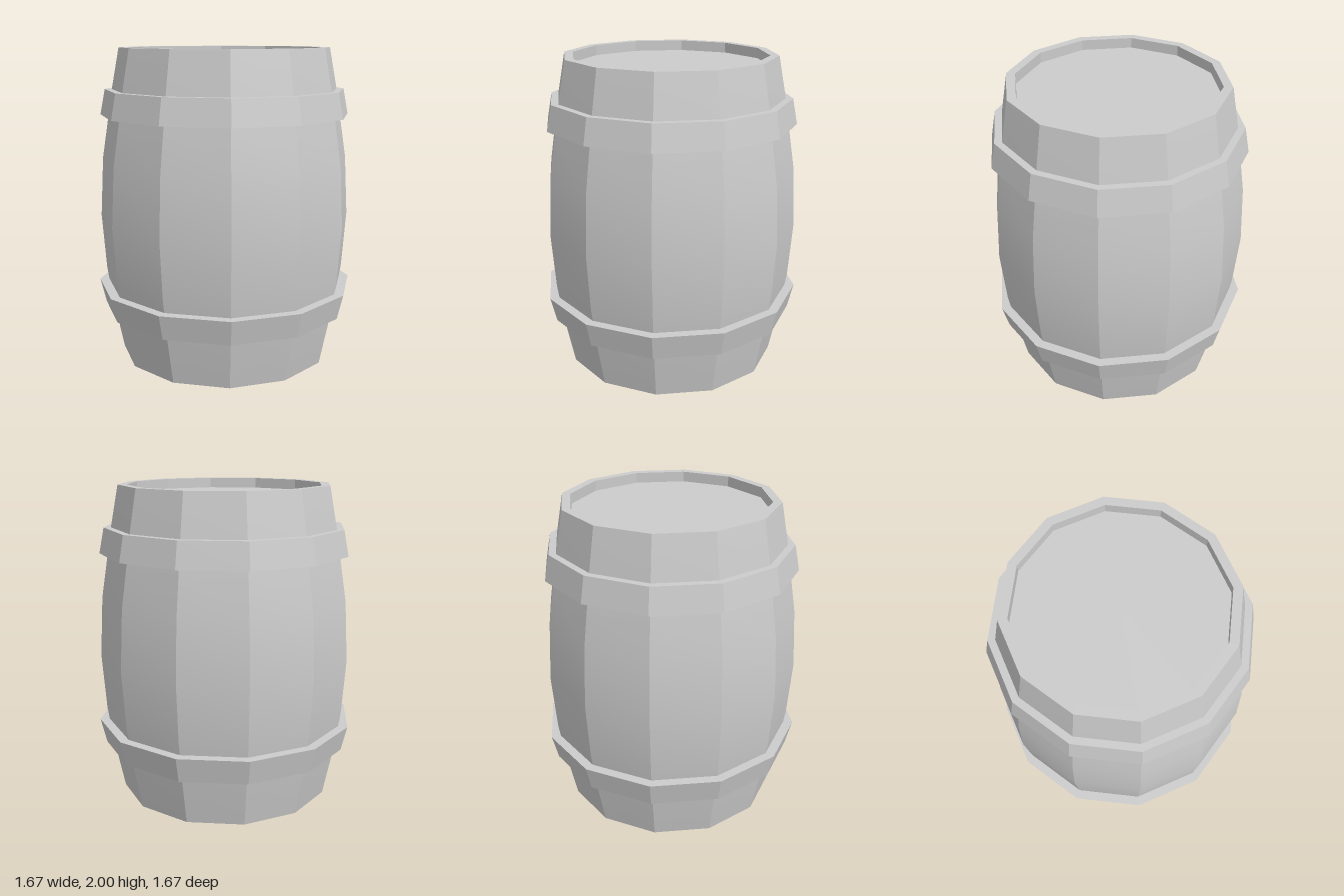
import * as THREE from 'three';
import { toCreasedNormals } from 'three/addons/utils/BufferGeometryUtils.js';

const SIDES = 12;
const CREASE = 0.35; // staves stay faceted, their vertical bulge stays smooth

export function createModel() {
  const group = new THREE.Group();
  const material = new THREE.MeshStandardMaterial({ color: 0xcccccc });

  // Twelve-sided turned part from [radius, height] pairs
  function turned(name, profile) {
    const points = profile.map(([r, y]) => new THREE.Vector2(r, y));
    const geometry = new THREE.LatheGeometry(points, SIDES);
    const mesh = new THREE.Mesh(toCreasedNormals(geometry, CREASE), material);
    mesh.name = name;
    group.add(mesh);
  }

  // Bulging body: base, staves, rim and recessed lid
  turned('barrelBody', [
    [0, 0], [0.685, 0],
    [0.75, 0.32], [0.787, 0.56], [0.812, 0.92], [0.79, 1.3], [0.745, 1.58], [0.72, 1.74],
    [0.67, 2], [0.615, 2],
    [0.615, 1.935], [0, 1.935],
  ]);

  // Hoops flare towards the middle of the barrel at the top, away from it at the bottom
  function hoop(name, y0, r0, y1, r1) {
    const inner = 0.7;
    turned(name, [[inner, y0], [r0, y0], [r1, y1], [inner, y1], [inner, y0]]);
  }
  hoop('lowerHoop', 0.32, 0.797, 0.48, 0.835);
  hoop('upperHoop', 1.58, 0.797, 1.74, 0.765);

  return group;
}
